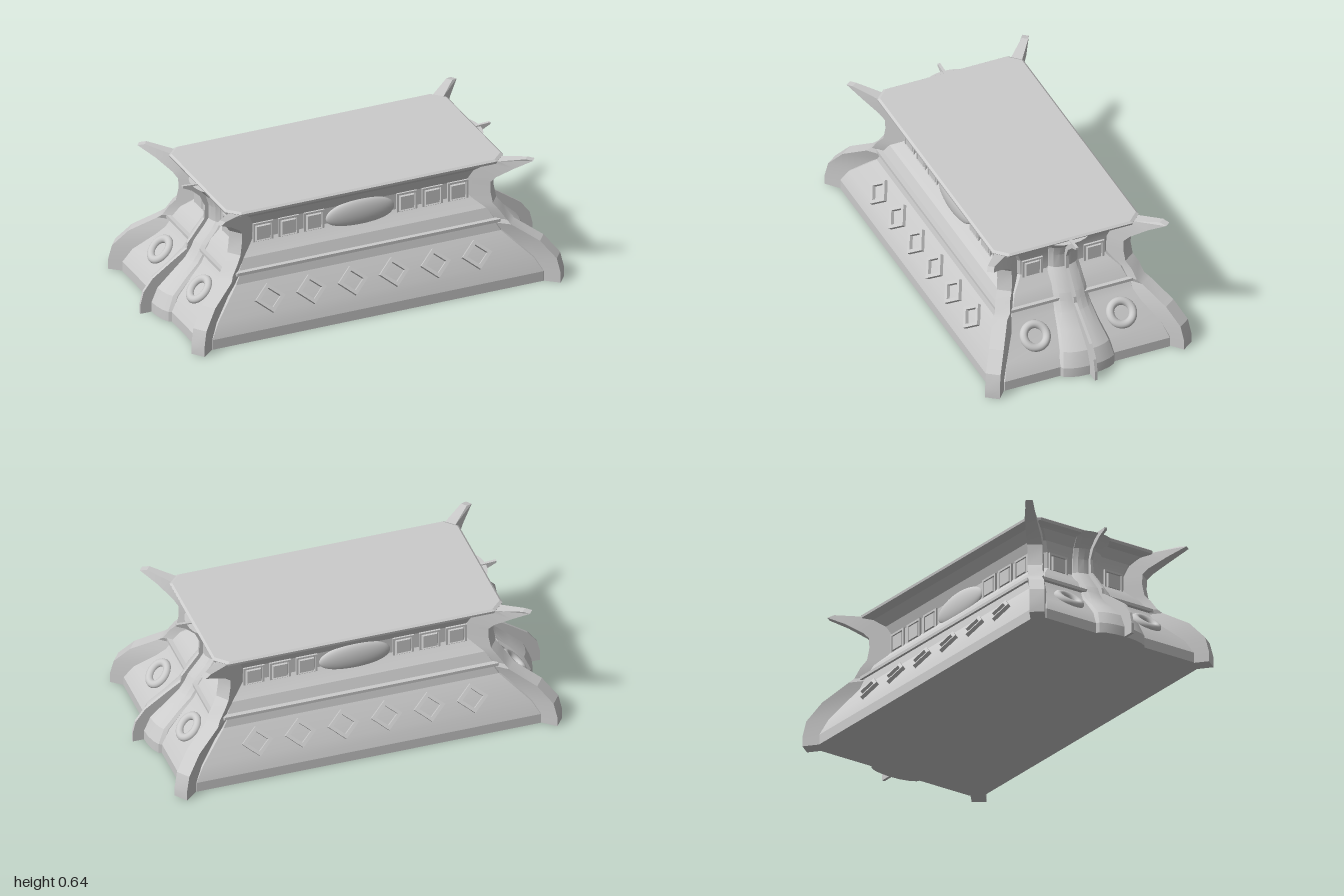
import * as THREE from 'three';
import { toCreasedNormals } from 'three/addons/utils/BufferGeometryUtils.js';

const grey = new THREE.MeshStandardMaterial({ color: 0xcccccc });

// Closed skin over rings of [x, y, z] that run counter-clockwise seen from above
function loft(rings) {
  const n = rings[0].length, pos = [];
  const tri = (a, b, c) => pos.push(...a, ...b, ...c);
  for (let i = 0; i < rings.length - 1; i++) {
    for (let j = 0; j < n; j++) {
      const k = (j + 1) % n, lo = rings[i], hi = rings[i + 1];
      tri(lo[j], lo[k], hi[k]);
      tri(lo[j], hi[k], hi[j]);
    }
  }
  const bottom = rings[0], top = rings[rings.length - 1];
  for (let j = 1; j < n - 1; j++) {
    tri(bottom[0], bottom[j + 1], bottom[j]);
    tri(top[0], top[j], top[j + 1]);
  }
  const g = new THREE.BufferGeometry();
  g.setAttribute('position', new THREE.Float32BufferAttribute(pos, 3));
  return toCreasedNormals(g, 0.3);
}

// Mirrors rings in x and z, keeping their winding
function mirrored(rings, sx, sz) {
  return rings.map((r) => {
    const m = r.map(([x, y, z]) => [x * sx, y, z * sz]);
    return sx * sz < 0 ? m.reverse() : m;
  });
}

function shape(points) {
  return new THREE.Shape(points.map(([x, y]) => new THREE.Vector2(x, y)));
}

// Four-sided flat frame with an opening, facing +z
function frame(outer, inner, depth) {
  const s = shape(outer);
  s.holes.push(shape(inner));
  return new THREE.ExtrudeGeometry(s, { depth, bevelEnabled: false });
}
const diamond = (w, h) => [[w, 0], [0, h], [-w, 0], [0, -h]];
const square = (h) => [[h, -h], [h, h], [-h, h], [-h, -h]];

export function createModel() {
  const model = new THREE.Group();
  const add = (name, geometry, parent = model) => {
    const mesh = new THREE.Mesh(geometry, grey);
    mesh.name = name;
    parent.add(mesh);
    return mesh;
  };
  // Sets an ornament on a wall: turned about y, then leaned back
  const place = (obj, x, y, z, turn, lean = 0) => {
    obj.rotation.order = 'YXZ';
    obj.rotation.set(-lean, turn, 0);
    obj.position.set(x, y, z);
  };

  // Body: [y, half width, half depth]
  const body = [
    [0, 0.9, 0.475], [0.05, 0.9, 0.475], [0.12, 0.86, 0.45], [0.25, 0.73, 0.365],
    [0.295, 0.705, 0.355], [0.295, 0.725, 0.368], [0.31, 0.725, 0.368], [0.31, 0.705, 0.345],
    [0.36, 0.675, 0.325], [0.4, 0.635, 0.285], [0.42, 0.62, 0.27], [0.5, 0.62, 0.27],
    [0.55, 0.635, 0.29], [0.59, 0.67, 0.33], [0.605, 0.705, 0.37], [0.617, 0.71, 0.372], [0.625, 0.7, 0.362],
  ];
  const c = 0.055;
  add('body', loft(body.map(([y, x, z]) => [
    [x, y, z - c], [x, y, c - z], [x - c, y, -z], [c - x, y, -z],
    [-x, y, c - z], [-x, y, z - c], [c - x, y, z], [x - c, y, z],
  ])));

  // Corner ribs ending in horns: [y, outer x, outer z]
  const ribPath = [
    [0, 0.93, 0.498], [0.05, 0.93, 0.498], [0.125, 0.915, 0.487], [0.21, 0.85, 0.442],
    [0.287, 0.735, 0.372], [0.307, 0.72, 0.352], [0.355, 0.69, 0.338], [0.39, 0.665, 0.318],
    [0.45, 0.655, 0.312], [0.5, 0.655, 0.314],
  ];
  const section = (o, i, w) => {
    const dx = 0.6 * w, dz = 0.8 * w;
    return [
      [o[0] - dx, o[1], o[2] + dz], [o[0] + dx, o[1], o[2] - dz],
      [i[0] + dx, i[1], i[2] - dz], [i[0] - dx, i[1], i[2] + dz],
    ];
  };
  const rib = ribPath.map(([y, x, z]) => section([x, y, z], [x - 0.15, y, z - 0.125], 0.035));
  rib.push(section([0.675, 0.53, 0.335], [0.6, 0.6, 0.27], 0.034));
  rib.push(section([0.735, 0.585, 0.395], [0.68, 0.615, 0.35], 0.027));
  rib.push(section([0.805, 0.633, 0.452], [0.775, 0.64, 0.435], 0.016));
  for (const sx of [1, -1]) for (const sz of [1, -1]) add('cornerRib', loft(mirrored(rib, sx, sz)));

  // Rounded pier in the middle of each end: [y, half width, outer x]
  const pierPath = [
    [0, 0.14, 0.945], [0.05, 0.14, 0.945], [0.12, 0.125, 0.915], [0.19, 0.105, 0.84],
    [0.25, 0.095, 0.775], [0.295, 0.09, 0.745], [0.33, 0.09, 0.73], [0.4, 0.085, 0.675],
    [0.43, 0.08, 0.655], [0.5, 0.08, 0.655], [0.55, 0.085, 0.67], [0.59, 0.095, 0.705], [0.612, 0.1, 0.735],
  ];
  const pier = pierPath.map(([y, w, x]) => {
    const ring = [];
    for (let k = 0; k <= 8; k++) {
      const a = Math.PI / 2 - (k / 8) * Math.PI;
      ring.push([x - 0.05 + 0.05 * Math.cos(a), y, w * Math.sin(a)]);
    }
    return [...ring, [x - 0.15, y, -w], [x - 0.15, y, w]];
  });

  // Thin fin on the centre line of each end
  const finShape = shape([
    [0.6, 0], [1, 0], [1, 0.05], [0.985, 0.11], [0.94, 0.17], [0.84, 0.24], [0.765, 0.29],
    [0.76, 0.32], [0.71, 0.385], [0.675, 0.43], [0.672, 0.5], [0.695, 0.55], [0.74, 0.59],
    [0.785, 0.612], [0.785, 0.622], [0.72, 0.618], [0.6, 0.61],
  ]);
  const fin = new THREE.ExtrudeGeometry(finShape, { depth: 0.014, bevelEnabled: false });
  fin.translate(0, 0, -0.007);
  for (const s of [1, -1]) {
    add('endPier', loft(mirrored(pier, s, 1)));
    add('endFin', fin).rotation.y = s > 0 ? 0 : Math.PI;
  }

  // Ornaments
  const diamondGeo = frame(diamond(0.076, 0.07), diamond(0.052, 0.047), 0.022);
  const panelFrame = frame(square(0.052), square(0.042), 0.012);
  const panelBlock = new THREE.CylinderGeometry(0.034 * Math.SQRT2, 0.041 * Math.SQRT2, 0.016, 4, 1);
  panelBlock.rotateY(Math.PI / 4).rotateX(Math.PI / 2).translate(0, 0, 0.006);
  const flatBlock = toCreasedNormals(panelBlock, 0.3);
  const oval = new THREE.SphereGeometry(1, 40, 20).scale(0.175, 0.073, 0.03);
  const ringGeo = new THREE.TorusGeometry(0.056, 0.02, 14, 36);

  const addPanel = (x, y, z, turn) => {
    const panel = new THREE.Group();
    panel.name = 'squarePanel';
    add('panelFrame', panelFrame, panel);
    add('panelBlock', flatBlock, panel);
    place(panel, x, y, z, turn);
    model.add(panel);
  };

  for (const s of [1, -1]) {
    const turn = s > 0 ? 0 : Math.PI;
    for (let i = 0; i < 6; i++) {
      place(add('diamondFrame', diamondGeo), -0.527 + i * 0.211, 0.172, s * 0.411, turn, 0.58);
    }
    for (const x of [0.237, 0.367, 0.497]) for (const m of [1, -1]) addPanel(m * x, 0.45, s * 0.268, turn);
    place(add('ovalBoss', oval), 0, 0.445, s * 0.27, turn);
    // End walls
    const side = s * Math.PI / 2;
    for (const z of [0.22, -0.22]) place(add('ringHandle', ringGeo), s * 0.797, 0.187, z, side, 0.78);
    for (const z of [0.157, -0.157]) addPanel(s * 0.618, 0.445, z, side);
  }
  return model;
}
